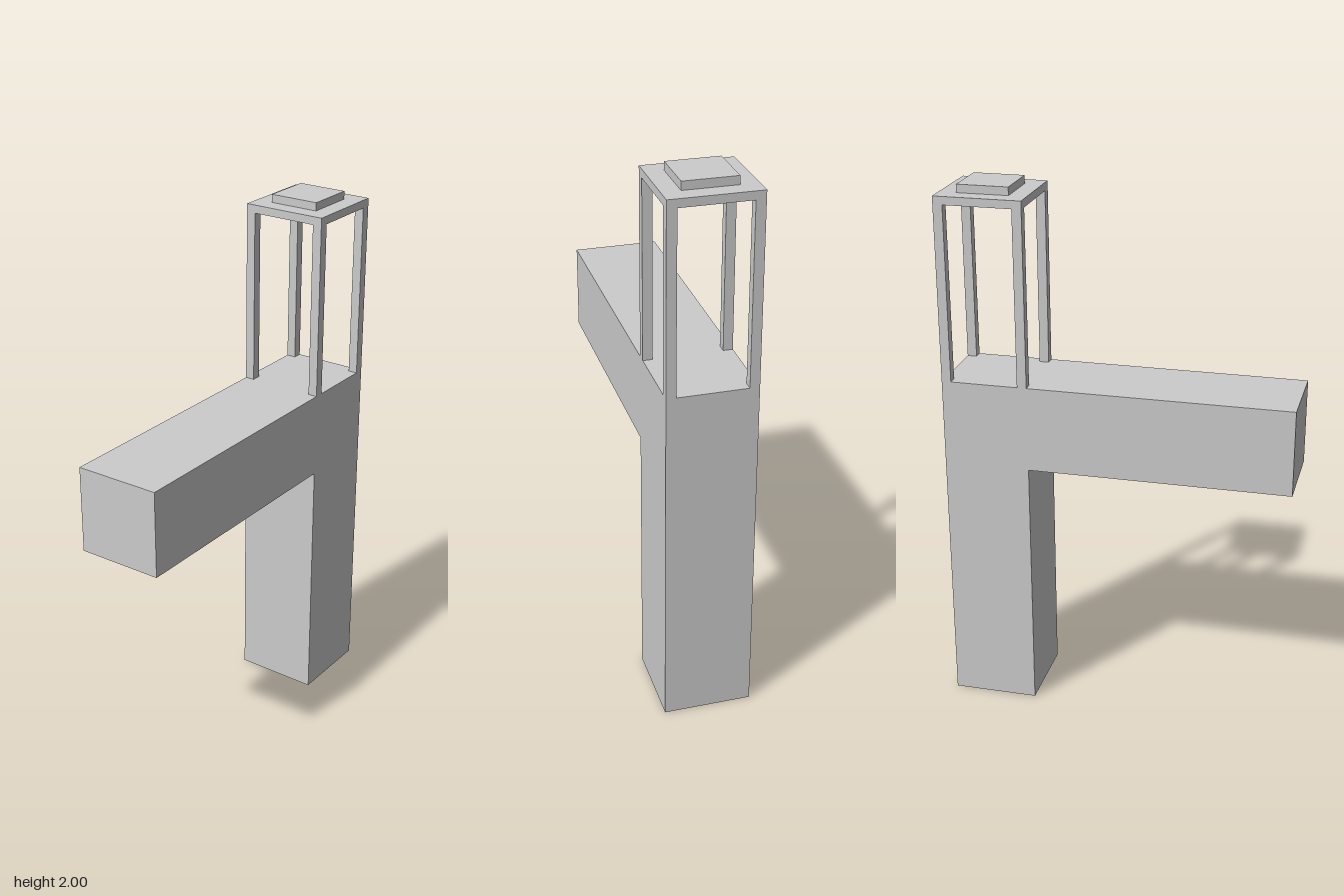
import * as THREE from 'three';

export function createModel() {
  const group = new THREE.Group();
  const material = new THREE.MeshStandardMaterial({ color: 0xcccccc, flatShading: true });

  const width = 0.32;           // square section of tower and beam
  const back = -0.645, front = 0.645;
  const towerFront = back + width;
  const towerZ = back + width / 2;
  const beamBottom = 0.97, beamTop = 1.29;
  const roofBottom = 1.94, roofTop = 1.97;
  const post = 0.035;

  const add = (name, geometry, x = 0, y = 0, z = 0) => {
    const mesh = new THREE.Mesh(geometry, material);
    mesh.name = name;
    mesh.position.set(x, y, z);
    group.add(mesh);
  };
  // Box placed by its bottom and top heights
  const addBox = (name, w, d, y0, y1, x, z) =>
    add(name, new THREE.BoxGeometry(w, y1 - y0, d), x, (y0 + y1) / 2, z);

  // Tower and forward beam: one side profile (z, y) extruded across x
  const profile = new THREE.Shape([
    [back, 0], [towerFront, 0], [towerFront, beamBottom],
    [front, beamBottom], [front, beamTop], [back, beamTop],
  ].map(([z, y]) => new THREE.Vector2(z, y)));
  const body = new THREE.ExtrudeGeometry(profile, { depth: width, bevelEnabled: false });
  body.rotateY(-Math.PI / 2).translate(width / 2, 0, 0);
  add('towerAndBeam', body);

  // Four corner posts of the open belfry
  const offset = (width - post) / 2;
  for (const sx of [-1, 1]) {
    for (const sz of [-1, 1]) {
      const name = (sz > 0 ? 'front' : 'back') + (sx > 0 ? 'Left' : 'Right') + 'Post';
      addBox(name, post, post, beamTop, roofBottom, sx * offset, towerZ + sz * offset);
    }
  }

  // Flat roof with a raised cap
  addBox('roofSlab', width, width, roofBottom, roofTop, 0, towerZ);
  addBox('roofCap', 0.19, 0.19, roofTop, 2, 0, towerZ);

  return group;
}
